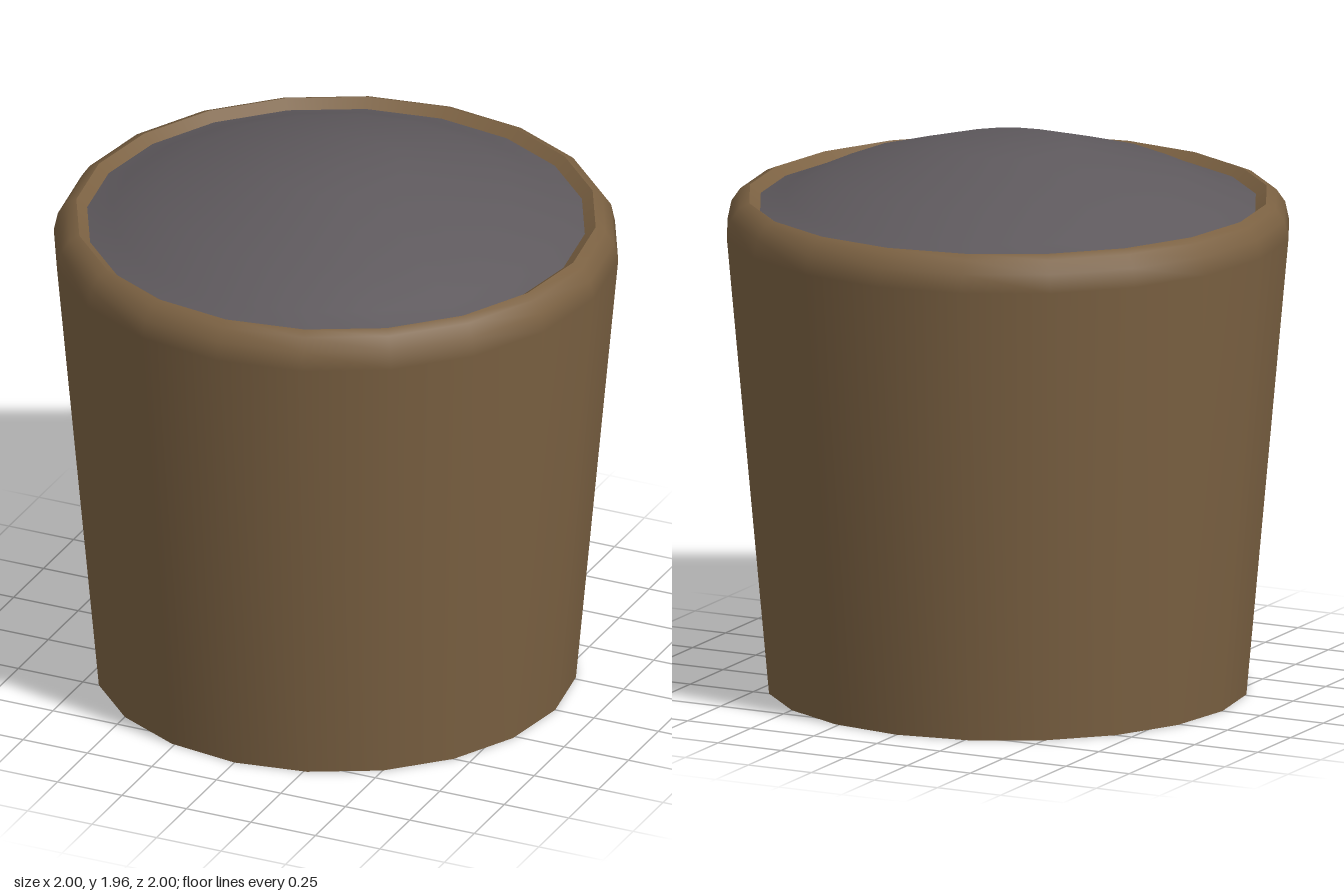
import * as THREE from 'three';

const SIDES = 20;

// Smooth turned surface from [radius, height] pairs, listed so the front faces outward
function turned(name, profile, material) {
  const points = profile.map(([r, y]) => new THREE.Vector2(r, y));
  const mesh = new THREE.Mesh(new THREE.LatheGeometry(points, SIDES), material);
  mesh.name = name;
  return mesh;
}

export function createModel() {
  const clay = new THREE.MeshStandardMaterial({ color: 0x7b6142, side: THREE.DoubleSide });
  clay.name = 'brown clay';
  const earth = new THREE.MeshStandardMaterial({ color: 0x5e595d, side: THREE.DoubleSide });
  earth.name = 'dark grey soil';

  const model = new THREE.Group();
  model.name = 'plantPot';

  // Tapered wall, open underneath, with a rounded shoulder at the top
  model.add(turned('potWall', [
    [0.85, 0], [1, 1.65], [0.986, 1.715], [0.955, 1.76], [0.92, 1.775],
  ], clay));

  // Narrow lip sloping in to the soil
  model.add(turned('innerLip', [[0.92, 1.775], [0.88, 1.745]], clay));

  // Mounded soil with a flat crown
  model.add(turned('soil', [
    [0.885, 1.745], [0.79, 1.778], [0.62, 1.855], [0.24, 1.96], [0, 1.961],
  ], earth));

  return model;
}
